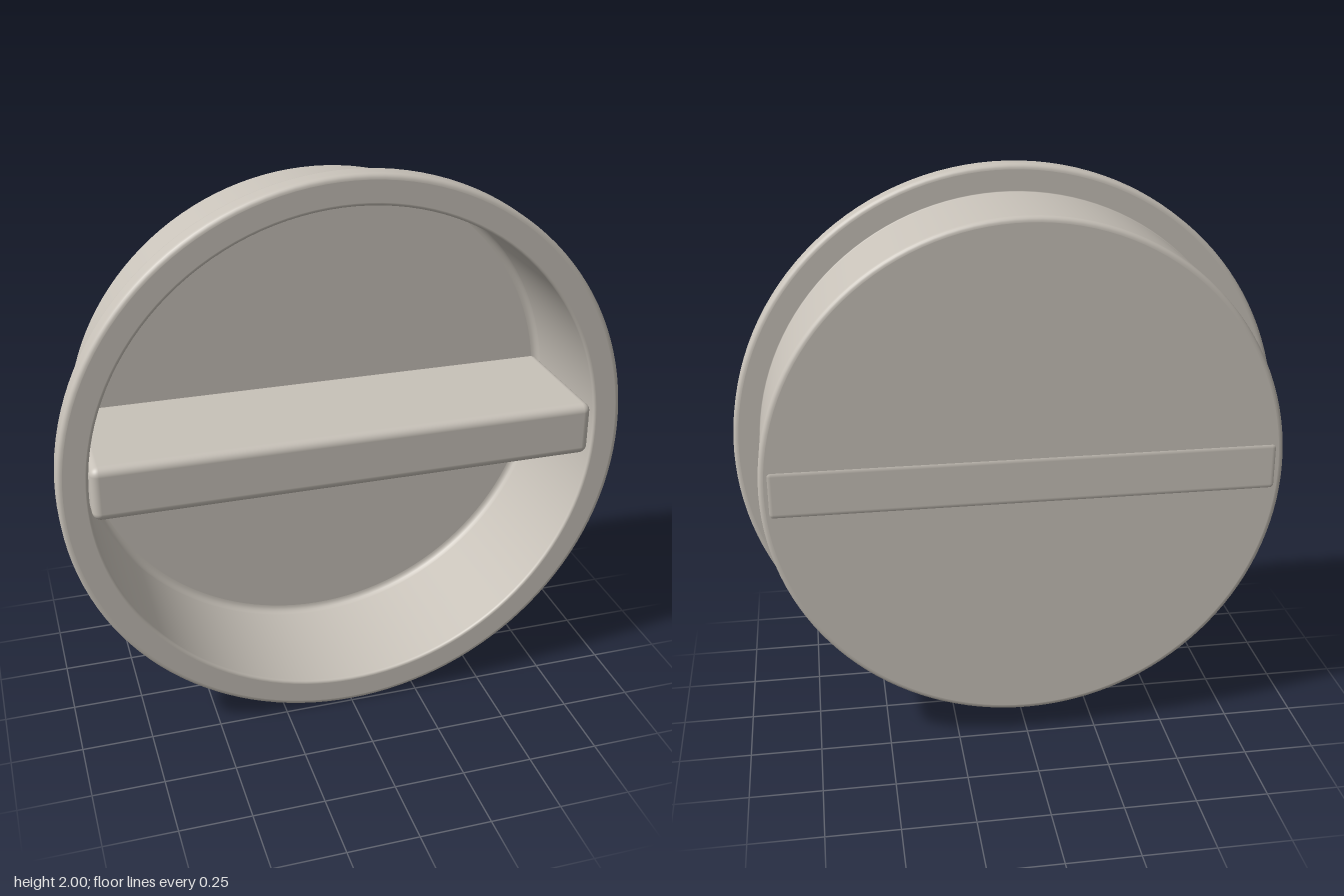
import * as THREE from 'three';
import { RoundedBoxGeometry } from 'three/addons/geometries/RoundedBoxGeometry.js';

// Profile [radius, depth, filletRadius] -> polyline with filleted corners
function filletProfile(corners, steps = 5) {
  const out = [];
  corners.forEach(([x, y, r], i) => {
    const p = new THREE.Vector2(x, y);
    if (!r) { out.push(p); return; }
    const toward = (j) => new THREE.Vector2(corners[j][0], corners[j][1]).sub(p).normalize();
    const a = toward(i - 1), b = toward(i + 1);
    const centre = p.clone().addScaledVector(a, r).addScaledVector(b, r);
    // guard points keep the neighbouring flat faces evenly shaded
    out.push(p.clone().addScaledVector(a, r + 0.001));
    for (let k = 0; k <= steps; k++) {
      const t = (k / steps) * Math.PI / 2;
      out.push(centre.clone().addScaledVector(b, -r * Math.cos(t)).addScaledVector(a, -r * Math.sin(t)));
    }
    out.push(p.clone().addScaledVector(b, r + 0.001));
  });
  return out;
}

export function createModel() {
  const group = new THREE.Group();
  group.name = 'recessedPull';
  const metal = new THREE.MeshStandardMaterial({ color: 0xc8c2b9 });
  metal.name = 'warm grey metal';

  // Round cup with thin wall and outer flange, open to the front
  const profile = filletProfile([
    [0, -0.247],
    [0.905, -0.247, 0.018],
    [0.905, 0.163, 0.003],
    [1, 0.163, 0.018],
    [1, 0.25, 0.018],
    [0.897, 0.25, 0.01],
    [0.897, -0.232, 0.025],
    [0, -0.232],
  ]);
  const cup = new THREE.Mesh(new THREE.LatheGeometry(profile, 128), metal);
  cup.name = 'cup';
  cup.rotation.x = Math.PI / 2;
  cup.position.y = 1;
  group.add(cup);

  // Grip bar across the cup, just showing through the back
  const bar = new THREE.Mesh(new RoundedBoxGeometry(1.78, 0.195, 0.497, 5, 0.03), metal);
  bar.name = 'gripBar';
  bar.position.set(0, 1, -0.0015);
  group.add(bar);

  return group;
}
